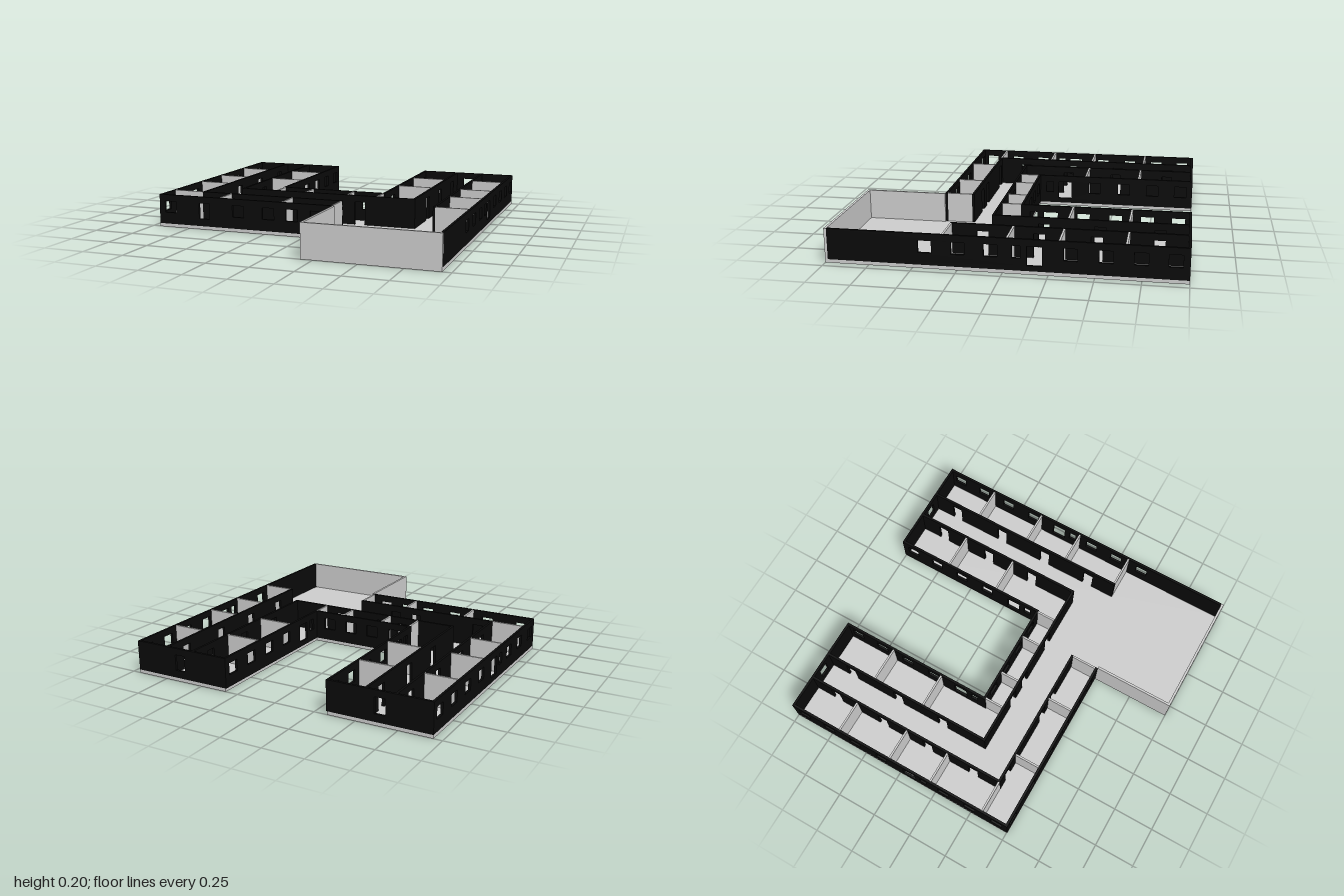
import * as THREE from 'three';

const FLOOR = 0.02, TOP = 0.2, T = 0.015;
const grey = new THREE.MeshStandardMaterial({ color: 0xcccccc });
const black = new THREE.MeshStandardMaterial({ color: 0x0a0a0a });

// Openings: [centre along the wall, width, sill, head]
const win = (c, w = 0.075, sill = 0.09) => [c, w, sill, 0.16];
const door = (c, w = 0.065) => [c, w, FLOOR, 0.16];

// Upright wall along 'x' or 'z' from a to b, centred on the other axis at c.
function wall(name, axis, a, b, c, openings = [], material = black, t = T, base = FLOOR) {
  const shape = new THREE.Shape();
  shape.moveTo(a, base);
  const sorted = [...openings].sort((p, q) => p[0] - q[0]);
  for (const [m, w, sill, head] of sorted) {
    const l = m - w / 2, r = m + w / 2;
    if (sill <= base) {
      // doors are notches in the lower edge
      shape.lineTo(l, base);
      shape.lineTo(l, head);
      shape.lineTo(r, head);
      shape.lineTo(r, base);
    } else {
      const hole = new THREE.Path();
      hole.moveTo(l, sill);
      hole.lineTo(l, head);
      hole.lineTo(r, head);
      hole.lineTo(r, sill);
      hole.closePath();
      shape.holes.push(hole);
    }
  }
  shape.lineTo(b, base);
  shape.lineTo(b, TOP);
  shape.lineTo(a, TOP);
  shape.closePath();
  const geo = new THREE.ExtrudeGeometry(shape, { depth: t, bevelEnabled: false });
  geo.translate(0, 0, -t / 2);
  if (axis === 'z') geo.rotateY(-Math.PI / 2);
  const mesh = new THREE.Mesh(geo, material);
  mesh.name = name;
  mesh.position.set(axis === 'z' ? c : 0, 0, axis === 'x' ? c : 0);
  return mesh;
}

function createFloor() {
  const outline = [[-0.95, -1], [-0.33, -1], [-0.33, -0.01], [0.33, -0.01], [0.33, -1],
    [0.95, -1], [0.95, 1], [0.18, 1], [0.18, 0.505], [-0.95, 0.505]];
  const shape = new THREE.Shape(outline.map(([x, z]) => new THREE.Vector2(x, -z)));
  const geo = new THREE.ExtrudeGeometry(shape, { depth: FLOOR, bevelEnabled: false });
  geo.rotateX(-Math.PI / 2);
  const mesh = new THREE.Mesh(geo, grey);
  mesh.name = 'floorSlab';
  return mesh;
}

export function createModel() {
  const model = new THREE.Group();
  model.name = 'floorPlan';
  model.add(createFloor());

  const outer = new THREE.Group();
  outer.name = 'outerWalls';
  const corridor = new THREE.Group();
  corridor.name = 'corridorWalls';
  const rooms = new THREE.Group();
  rooms.name = 'roomPartitions';
  const hall = new THREE.Group();
  hall.name = 'hallWalls';
  model.add(outer, corridor, rooms, hall);

  // Windows shared by the long sides of both wings
  const wingWindows = [-0.925, -0.745, -0.56, -0.37].map((z) => win(z));
  wingWindows.push(win(-0.175, 0.085, 0.05), win(-0.075, 0.045));
  const sideWindows = [...wingWindows, win(0.065), win(0.245), win(0.43)];

  // Two mirrored wings
  for (const s of [-1, 1]) {
    outer.add(
      wall('wingOuterWall', 'z', -1, s > 0 ? 0.985 : 0.505, s * 0.9425, sideWindows),
      wall('courtyardSideWall', 'z', -1, 0, s * 0.3325, wingWindows),
      wall('wingEndWall', 'x', s > 0 ? 0.325 : -0.95, s > 0 ? 0.95 : -0.325, -0.9925,
        [win(s * 0.645, 0.065, 0.065)]),
    );
    corridor.add(
      wall('outerCorridorWall', 'z', -1, 0.335, s * 0.735,
        [door(-0.83), door(-0.49), door(-0.17), door(0.15)]),
      wall('innerCorridorWall', 'z', -1, 0.13, s * 0.56,
        [door(-0.83), door(-0.49), door(-0.17)]),
    );
    const partition = (z, x0, x1) => rooms.add(
      wall('wingPartition', 'x', Math.min(s * x0, s * x1), Math.max(s * x0, s * x1), z, [], grey, 0.012));
    for (const z of [-0.665, -0.31, -0.025, 0.33]) partition(z, 0.742, 0.936);
    for (const z of [-0.655, -0.31]) partition(z, 0.34, 0.553);
    for (const x of [0.135, 0.328]) {
      rooms.add(wall('middlePartition', 'z', 0, 0.118, s * x, [], grey, 0.012));
    }
  }

  // Middle block between the wings
  outer.add(
    wall('courtyardBackWall', 'x', -0.34, 0.34, -0.005,
      [-0.23, -0.075, 0.075, 0.23].map((x) => win(x))),
    wall('frontWall', 'x', -0.95, 0.18, 0.4975,
      [win(-0.875), win(-0.645, 0.07, 0.065), win(-0.42), win(-0.225), win(-0.075), win(0.08)]),
  );
  corridor.add(
    wall('middleCorridorWall', 'x', -0.567, 0.567, 0.125,
      [door(-0.22), door(-0.075), door(0.22)]),
    wall('frontCorridorWall', 'x', -0.742, 0.18, 0.33,
      [door(-0.645), door(-0.22), door(-0.075)]),
  );
  for (const x of [-0.545, -0.14, 0.174]) {
    rooms.add(wall('frontPartition', 'z', 0.337, 0.49, x, [], grey, 0.012));
  }

  // Plain walls around the entrance hall
  hall.add(
    wall('hallFrontWall', 'x', 0.18, 0.95, 0.9925, [], grey, T, 0),
    wall('hallSideWall', 'z', 0.505, 0.985, 0.187, [], grey, 0.014),
  );
  return model;
}
